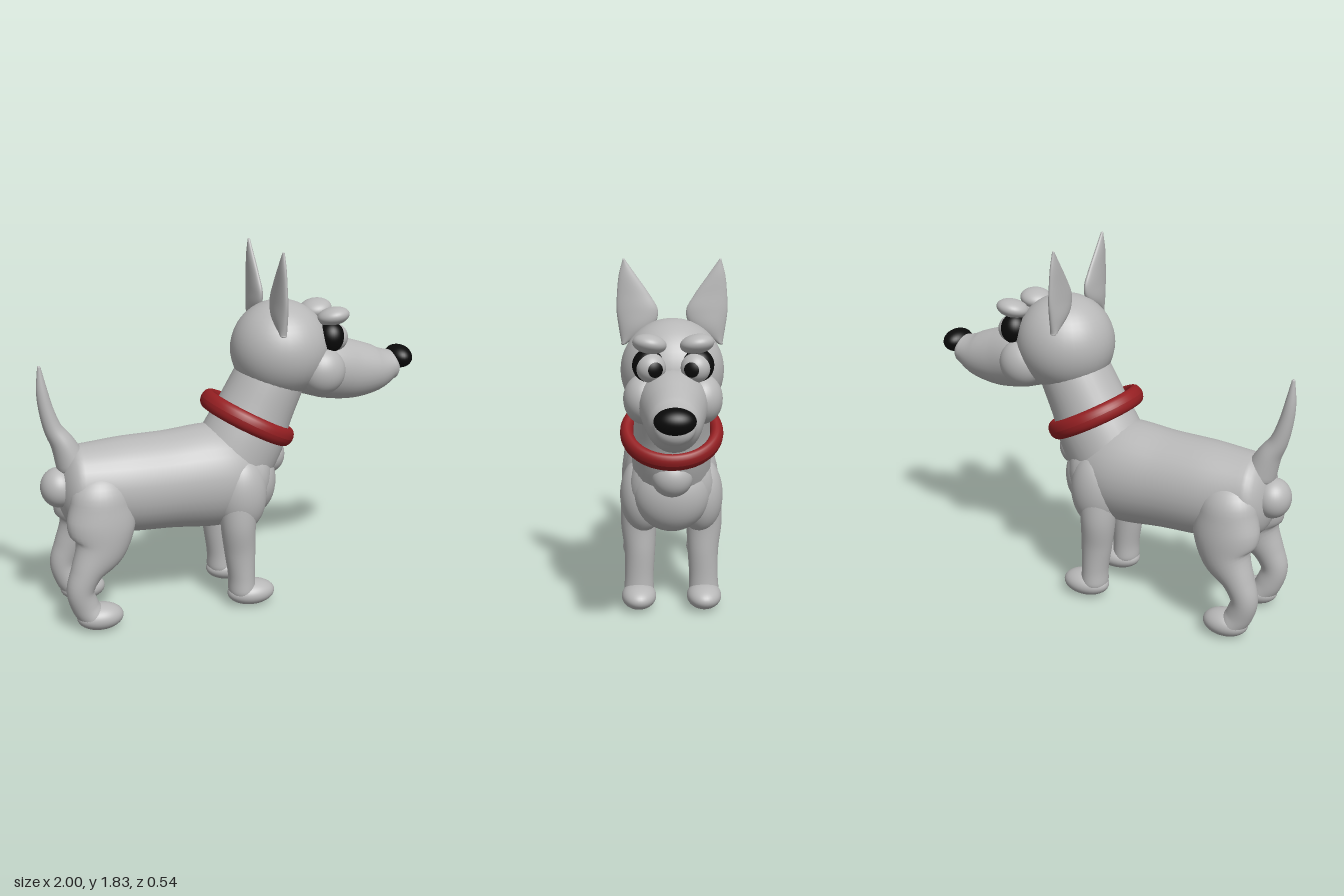
import * as THREE from 'three';

const mat = (name, color) => {
  const m = new THREE.MeshStandardMaterial({ color });
  m.name = name;
  return m;
};

// Smooth tube of ellipses along a path: each point is [x, y, z, radius in the xy plane, radius in z].
// capA and capB are the lengths of the rounded ends.
function loft(points, capA = 0.01, capB = 0.01, steps = 32, sides = 32) {
  const path = new THREE.CatmullRomCurve3(points.map(p => new THREE.Vector3(p[0], p[1], p[2])), false, 'catmullrom');
  const size = new THREE.CatmullRomCurve3(points.map(p => new THREE.Vector3(p[3], p[4], 0)), false, 'catmullrom');
  const pos = [], index = [], caps = 8;
  let rings = 0;
  const ring = (t, shift, scale) => {
    const c = path.getPoint(t), r = size.getPoint(t), d = path.getTangent(t);
    const l = Math.hypot(d.x, d.y), nx = -d.y / l, ny = d.x / l;
    c.addScaledVector(d, shift);
    for (let j = 0; j < sides; j++) {
      const a = j / sides * Math.PI * 2, u = Math.cos(a) * r.x * scale;
      pos.push(c.x + nx * u, c.y + ny * u, c.z + Math.sin(a) * r.y * scale);
    }
    rings++;
  };
  const quarter = k => 0.002 + k / caps * (Math.PI / 2 - 0.002);
  for (let k = 0; k < caps; k++) ring(0, -capA * Math.cos(quarter(k)), Math.sin(quarter(k)));
  for (let i = 0; i <= steps; i++) ring(i / steps, 0, 1);
  for (let k = caps - 1; k >= 0; k--) ring(1, capB * Math.cos(quarter(k)), Math.sin(quarter(k)));
  for (let i = 0; i < rings - 1; i++) for (let j = 0; j < sides; j++) {
    const a = i * sides + j, b = i * sides + (j + 1) % sides;
    index.push(a, b, b + sides, a, b + sides, a + sides);
  }
  const g = new THREE.BufferGeometry();
  g.setAttribute('position', new THREE.Float32BufferAttribute(pos, 3));
  g.setIndex(index);
  g.computeVertexNormals();
  return g;
}

export function createModel() {
  const model = new THREE.Group();
  model.name = 'dog';
  const coat = mat('grey coat', 0xb8b8b8);
  const black = mat('black', 0x0a0a0a);
  const red = mat('collar red', 0x951f22);

  const add = (name, geometry, material = coat) => {
    const m = new THREE.Mesh(geometry, material);
    m.name = name;
    model.add(m);
    return m;
  };
  const ball = (name, c, r, material = coat, tilt = 0) => {
    const m = add(name, new THREE.SphereGeometry(1, 36, 24), material);
    m.position.set(...c);
    m.scale.set(...r);
    m.rotation.z = tilt;
    return m;
  };

  // Body
  add('torso', loft([
    [-0.82, 0.70, 0, 0.205, 0.195], [-0.6, 0.68, 0, 0.24, 0.225], [-0.35, 0.675, 0, 0.25, 0.235],
    [-0.1, 0.672, 0, 0.268, 0.245], [0.06, 0.66, 0, 0.225, 0.215]], 0.09, 0.13));
  ball('chest', [0.08, 0.635, 0], [0.14, 0.2, 0.195]);
  ball('breastbone', [0.185, 0.75, 0], [0.095, 0.105, 0.105]);
  ball('rump', [-0.91, 0.70, 0], [0.09, 0.1, 0.1]);
  add('neck', loft([
    [-0.03, 0.7, 0, 0.22, 0.2], [0.06, 0.86, 0, 0.215, 0.2], [0.125, 1.0, 0, 0.195, 0.19],
    [0.2, 1.15, 0, 0.182, 0.185], [0.27, 1.28, 0, 0.17, 0.17]], 0.05, 0.05));
  add('tail', loft([
    [-0.84, 0.82, 0, 0.08, 0.085], [-0.88, 0.92, 0, 0.06, 0.07], [-0.925, 1.0, 0, 0.045, 0.05],
    [-0.955, 1.1, 0, 0.036, 0.038], [-0.972, 1.2, 0, 0.027, 0.027], [-0.98, 1.31, 0, 0.009, 0.009]], 0.05, 0.012));

  // Collar: a lathed oval ring tilted around the neck
  const oval = [];
  for (let i = 0; i <= 20; i++) {
    const a = i / 20 * Math.PI * 2;
    oval.push(new THREE.Vector2(0.226 + 0.034 * Math.cos(a), 0.048 * Math.sin(a)));
  }
  const collar = add('collar', new THREE.LatheGeometry(oval, 64), red);
  collar.position.set(0.08, 0.955, 0);
  collar.rotation.z = -0.49;

  // Head
  ball('skull', [0.255, 1.305, 0], [0.252, 0.25, 0.25]);
  add('muzzle', loft([
    [0.38, 1.2, 0, 0.14, 0.17], [0.5, 1.188, 0, 0.163, 0.165], [0.65, 1.16, 0, 0.155, 0.142],
    [0.78, 1.152, 0, 0.125, 0.12], [0.875, 1.165, 0, 0.08, 0.093]], 0.08, 0.05));
  ball('nose', [0.932, 1.205, 0], [0.068, 0.06, 0.094], black, -0.15);

  for (const s of [1, -1]) {
    // Face
    ball('cheek', [0.435, 1.2, s * 0.135], [0.12, 0.12, 0.1]);
    ball('eyeRim', [0.485, 1.37, s * 0.117], [0.07, 0.078, 0.074], black);
    ball('eyeball', [0.51, 1.363, s * 0.104], [0.07, 0.07, 0.07]);
    const pupil = add('pupil', new THREE.SphereGeometry(0.0725, 24, 8, 0, Math.PI * 2, 0, 0.52), black);
    pupil.position.set(0.51, 1.363, s * 0.104);
    pupil.quaternion.setFromUnitVectors(new THREE.Vector3(0, 1, 0), new THREE.Vector3(0.94, 0, -0.34 * s).normalize());
    const brow = ball('brow', [0.5, 1.473, s * 0.11], [0.083, 0.046, 0.08], coat, 0.15);
    brow.rotation.x = -s * 0.15;

    // Ear: thin blade, pointed at the top
    add('ear', loft([
      [0.18, 1.425, s * 0.232, 0.018, 0.014], [0.18, 1.5, s * 0.178, 0.031, 0.08],
      [0.18, 1.58, s * 0.168, 0.028, 0.1], [0.178, 1.66, s * 0.187, 0.022, 0.079],
      [0.176, 1.75, s * 0.214, 0.016, 0.043], [0.175, 1.825, s * 0.231, 0.007, 0.007]], 0.012, 0.008));

    // Front leg
    ball('shoulder', [-0.01, 0.6, s * 0.15], [0.135, 0.2, 0.115]);
    add('frontLeg', loft([
      [-0.02, 0.62, s * 0.165, 0.1, 0.09], [-0.03, 0.45, s * 0.17, 0.09, 0.092],
      [-0.02, 0.3, s * 0.165, 0.08, 0.08], [-0.012, 0.17, s * 0.168, 0.069, 0.075],
      [-0.01, 0.09, s * 0.17, 0.07, 0.078]], 0.05, 0.06));
    ball('frontPaw', [0.04, 0.066, s * 0.17], [0.125, 0.064, 0.09]);

    // Hind leg
    add('hindLeg', loft([
      [-0.735, 0.66, s * 0.14, 0.15, 0.115], [-0.74, 0.54, s * 0.155, 0.17, 0.115],
      [-0.755, 0.43, s * 0.17, 0.135, 0.1], [-0.825, 0.32, s * 0.185, 0.082, 0.08],
      [-0.864, 0.22, s * 0.19, 0.068, 0.068], [-0.84, 0.13, s * 0.185, 0.068, 0.068],
      [-0.81, 0.08, s * 0.185, 0.065, 0.075]], 0.14, 0.05));
    ball('hindPaw', [-0.767, 0.066, s * 0.185], [0.117, 0.066, 0.085]);
  }
  return model;
}
